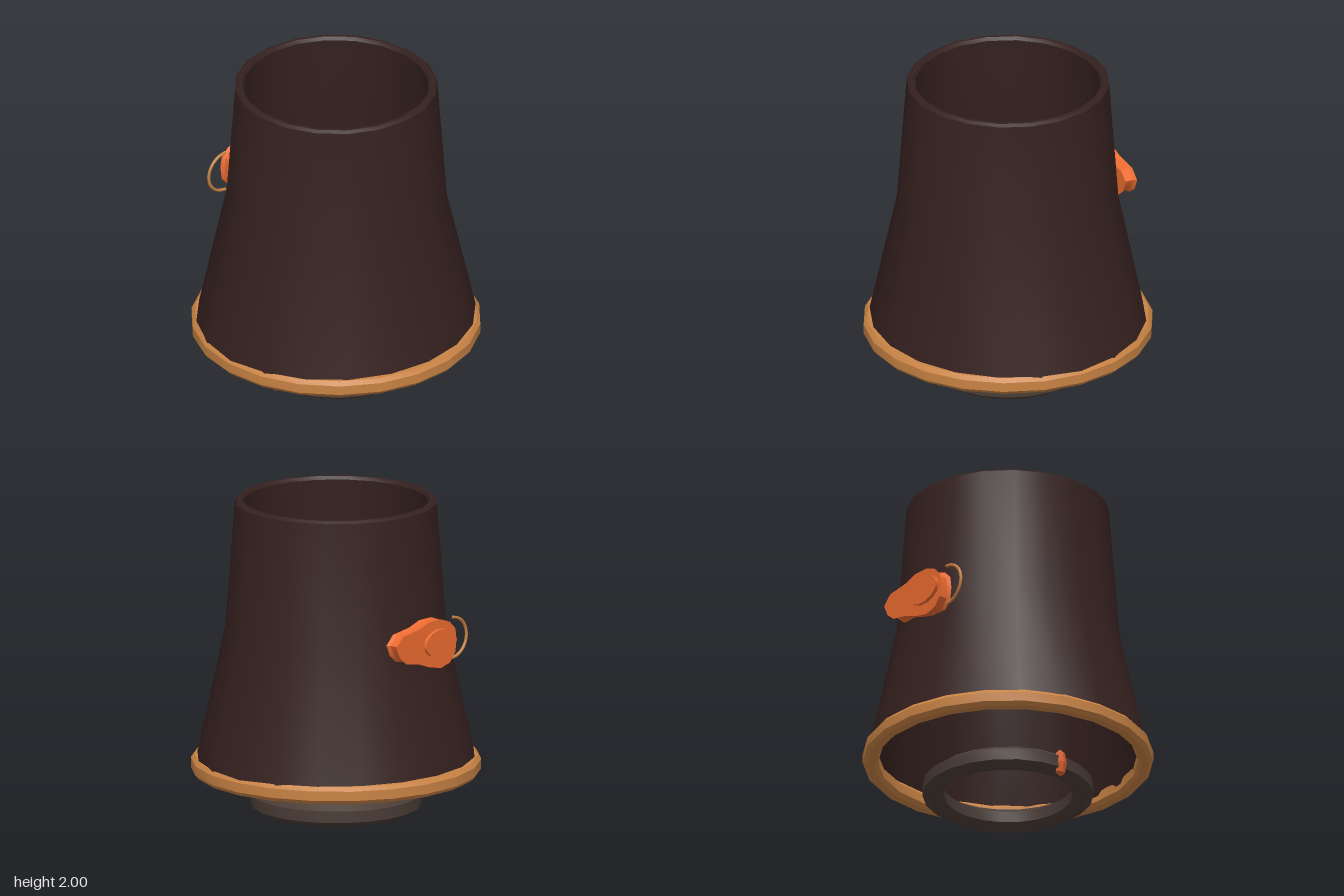
import * as THREE from 'three';
import { toCreasedNormals } from 'three/addons/utils/BufferGeometryUtils.js';

const mat = (color, extra = {}) => new THREE.MeshStandardMaterial({ color, ...extra });
const CLOTH = mat(0x35211f), BELT = mat(0x4a3c36), TRIM = mat(0xc98344);
const ORANGE = mat(0xee6c30), GEM = mat(0xd8602c, { flatShading: true }), PALE = mat(0xb8b4ac);

function add(parent, name, geometry, material) {
  const mesh = new THREE.Mesh(geometry, material);
  mesh.name = name;
  parent.add(mesh);
  return mesh;
}

// Revolve a closed profile given as [radius, height] pairs
function revolve(profile, sides) {
  const points = profile.map(([r, y]) => new THREE.Vector2(r, y));
  points.push(points[0].clone());
  return new THREE.LatheGeometry(points, sides);
}

// Ring with a chamfered rectangular section
function band(inner, outer, bottom, top, cr, cy) {
  return toCreasedNormals(revolve([
    [outer - cr, bottom], [outer, bottom + cy], [outer, top - cy], [outer - cr, top],
    [inner + cr, top], [inner, top - cy], [inner, bottom + cy], [inner + cr, bottom],
  ], 22), 0.4);
}

// Outline in the z-y plane, swept along x through several scaled slices
function pouchGeometry(outline, slices) {
  const n = outline.length, pos = [], index = [];
  const cz = outline.reduce((s, p) => s + p[0], 0) / n;
  const cy = outline.reduce((s, p) => s + p[1], 0) / n;
  for (const [x, k] of slices)
    for (const [z, y] of outline) pos.push(x, cy + (y - cy) * k, cz + (z - cz) * k);
  for (let s = 0; s < slices.length - 1; s++)
    for (let i = 0; i < n; i++) {
      const a = s * n + i, b = s * n + (i + 1) % n;
      index.push(a, a + n, b, b, a + n, b + n);
    }
  // end caps
  const last = (slices.length - 1) * n, c0 = pos.length / 3;
  pos.push(slices[0][0], cy, cz, slices[slices.length - 1][0], cy, cz);
  for (let i = 0; i < n; i++) {
    const j = (i + 1) % n;
    index.push(c0, i, j, c0 + 1, last + j, last + i);
  }
  const g = new THREE.BufferGeometry();
  g.setAttribute('position', new THREE.Float32BufferAttribute(pos, 3));
  g.setIndex(index);
  return toCreasedNormals(g, 0.5);
}

export function createModel() {
  const model = new THREE.Group();
  model.name = 'skirtAndBelt';

  // Flared double-walled skirt, slightly deeper than wide at the hem
  const skirt = revolve([
    [0.86, 0.32], [0.69, 1.17], [0.63, 1.985], [0.61, 2.0],
    [0.59, 2.0], [0.575, 1.98], [0.64, 1.17], [0.81, 0.32],
  ], 20);
  const p = skirt.attributes.position;
  for (let i = 0; i < p.count; i++) {
    const t = THREE.MathUtils.clamp((1.17 - p.getY(i)) / 0.85, 0, 1);
    p.setZ(i, p.getZ(i) * (1 + 0.042 * t));
  }
  add(model, 'skirt', toCreasedNormals(skirt, 0.5), CLOTH);

  // Hem trim and the loose belt ring below it
  add(model, 'hemTrim', band(0.805, 0.9, 0.26, 0.37, 0.022, 0.025), TRIM);
  add(model, 'beltRing', band(0.4, 0.53, 0.02, 0.165, 0.05, 0.036), BELT);

  // Faceted stone on the front of the belt
  const gem = add(model, 'beltGem', new THREE.SphereGeometry(1, 8, 4), GEM);
  gem.scale.set(0.045, 0.0925, 0.034);
  gem.position.set(0, 0.0925, 0.507);

  // Small clasp inside the front wall
  const bar = add(model, 'claspBar', new THREE.BoxGeometry(0.3, 0.03, 0.012), ORANGE);
  bar.position.set(-0.06, 1.2, 0.522);
  const plate = add(model, 'claspPlate', new THREE.BoxGeometry(0.22, 0.06, 0.025), PALE);
  plate.position.set(0.01, 1.2, 0.55);

  // Side ornament: grooved body, oval hub and hook
  const ornament = new THREE.Group();
  ornament.name = 'sideOrnament';
  model.add(ornament);
  const outline = [
    [-0.28, 1.22], [-0.25, 1.15], [-0.19, 1.1], [-0.08, 1.08], [0.03, 1.04], [0.13, 1.02],
    [0.21, 1.04], [0.26, 1.1], [0.27, 1.18], [0.26, 1.25], [0.21, 1.3], [0.13, 1.33],
    [0.02, 1.33], [-0.07, 1.3], [-0.14, 1.29], [-0.22, 1.28],
  ];
  add(ornament, 'ornamentBody', pouchGeometry(outline, [
    [-0.765, 1], [-0.75, 0.92], [-0.735, 0.92], [-0.71, 0.92], [-0.695, 0.92], [-0.68, 1],
  ]), ORANGE);
  const hub = add(ornament, 'ornamentHub',
    toCreasedNormals(new THREE.CylinderGeometry(1, 1, 0.125, 14), 0.6), ORANGE);
  hub.rotation.z = Math.PI / 2;
  hub.scale.set(0.09, 1, 0.14);
  hub.position.set(-0.725, 1.185, 0.11);
  const arc = [];
  for (let i = 0; i <= 8; i++) {
    const a = -Math.PI / 2 + (i / 8) * Math.PI;
    arc.push(new THREE.Vector3(-0.72, 1.18 + 0.13 * Math.sin(a), 0.27 + 0.14 * Math.cos(a)));
  }
  add(ornament, 'ornamentHook',
    new THREE.TubeGeometry(new THREE.CatmullRomCurve3(arc), 16, 0.01, 6), TRIM);

  return model;
}
